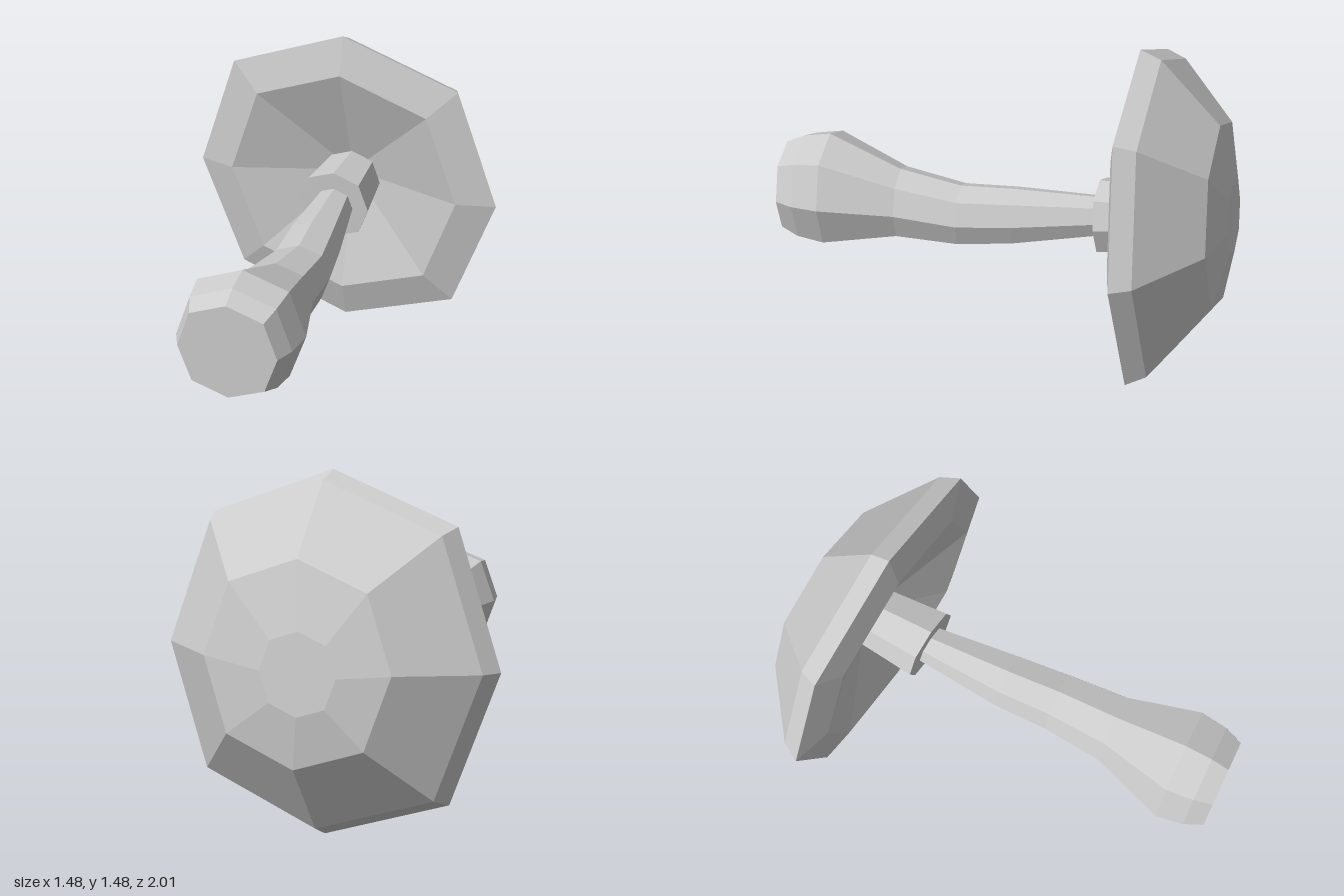
import * as THREE from 'three';

const SIDES = 8;

// Faceted skin through octagonal rings [x, y, z, radius], listed from front (+z) to back.
// tiltX and tiltY lean each ring: how far z rises per unit of x and y.
function loft(rings, tiltX = 0, tiltY = 0) {
  const point = ([x, y, z, r], k) => {
    const a = (k % SIDES) * Math.PI * 2 / SIDES;
    const radius = r * (k % 2 ? 1.04 : 1);
    const dx = radius * Math.cos(a), dy = radius * Math.sin(a);
    return [x + dx, y + dy, z + tiltX * dx + tiltY * dy];
  };
  const pos = [];
  const tri = (...corners) => corners.forEach(c => pos.push(...c));
  const first = rings[0], last = rings[rings.length - 1];
  for (let k = 0; k < SIDES; k++) {
    for (let i = 0; i < rings.length - 1; i++) {
      const a = point(rings[i], k), b = point(rings[i], k + 1);
      const c = point(rings[i + 1], k), d = point(rings[i + 1], k + 1);
      tri(a, c, d);
      if (rings[i][3] > 0) tri(a, d, b);
    }
    // end faces
    if (first[3] > 0) tri(first.slice(0, 3), point(first, k), point(first, k + 1));
    tri(last.slice(0, 3), point(last, k + 1), point(last, k));
  }
  const geometry = new THREE.BufferGeometry();
  geometry.setAttribute('position', new THREE.Float32BufferAttribute(pos, 3));
  geometry.computeVertexNormals();
  return geometry;
}

export function createModel() {
  const model = new THREE.Group();
  model.name = 'mushroom';
  const grey = new THREE.MeshStandardMaterial({ color: 0xcccccc, flatShading: true });
  grey.name = 'plain grey';

  const add = (name, geometry) => {
    const mesh = new THREE.Mesh(geometry, grey);
    mesh.name = name;
    model.add(mesh);
  };

  // bulbous, slightly bent stem
  add('stem', loft([
    [-0.02, 0.72, 1.0, 0.203],
    [-0.02, 0.72, 0.92, 0.238],
    [-0.02, 0.72, 0.8, 0.257],
    [0.01, 0.69, 0.475, 0.158],
    [0.025, 0.662, 0.2, 0.137],
    [0.013, 0.672, -0.04, 0.127],
    [0.006, 0.705, -0.45, 0.085],
  ]));

  // collar below the cap
  add('collar', loft([
    [0.005, 0.707, -0.42, 0.165],
    [0.015, 0.725, -0.72, 0.14],
  ], 0.11, 0.08));

  // tilted cap: hollow underside, rim, then the dome
  add('cap', loft([
    [0.01, 0.75, -0.74, 0],
    [-0.005, 0.738, -0.57, 0.56],
    [0, 0.74, -0.615, 0.738],
    [0.008, 0.745, -0.7, 0.697],
    [0.01, 0.762, -0.935, 0.408],
    [-0.02, 0.74, -0.987, 0.165],
  ], 0.1, 0.078));

  return model;
}
